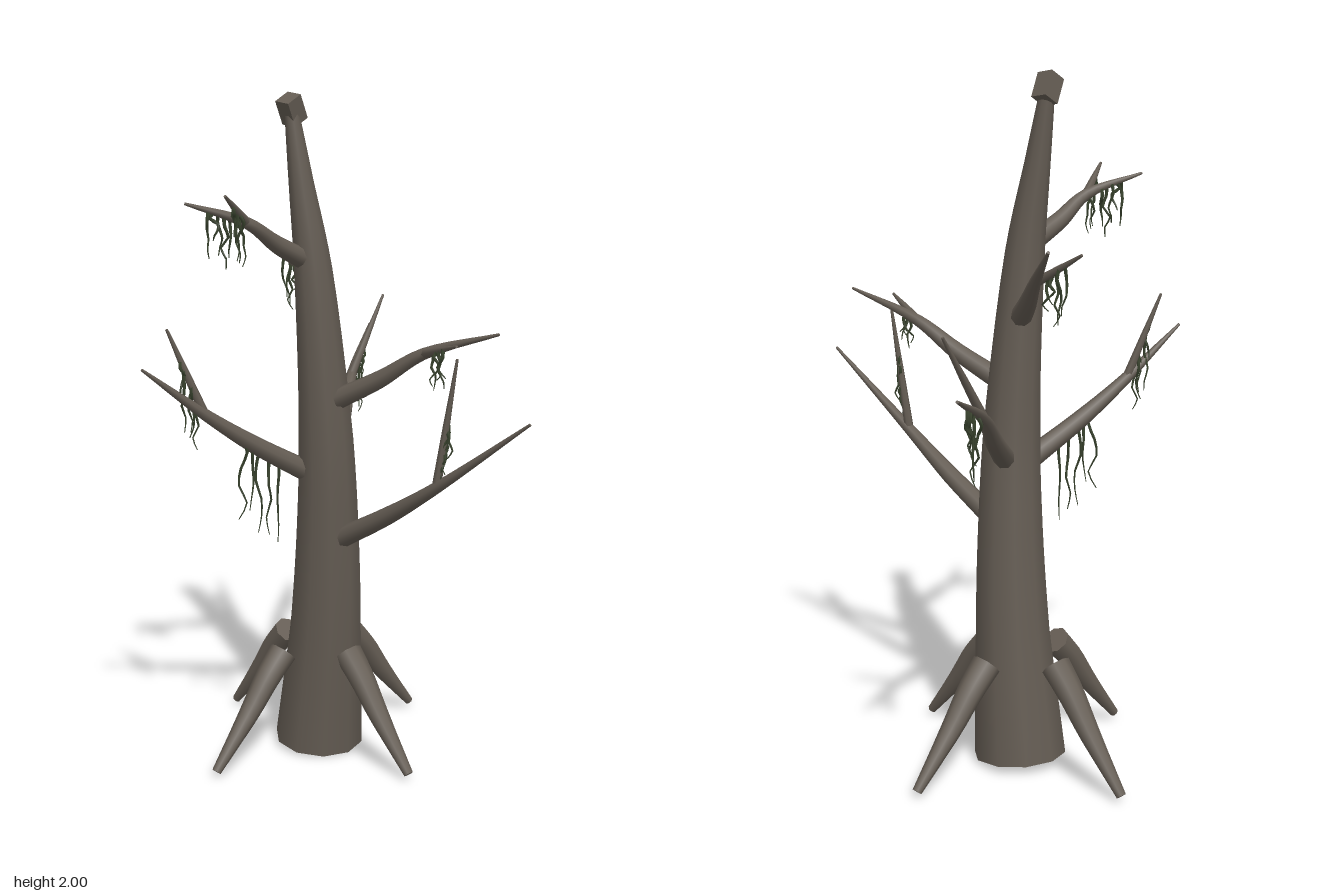
import * as THREE from 'three';

const bark = new THREE.MeshStandardMaterial({ color: 0x655d54 });
bark.name = 'bark';
const mossGreen = new THREE.MeshStandardMaterial({ color: 0x39432e });
mossGreen.name = 'mossGreen';

// Small seeded generator for the moss strands
let seed = 7;
const rand = () => (seed = (seed * 16807) % 2147483647) / 2147483647;
const vec = (x, y, z) => new THREE.Vector3(x, y, z);

// Tapered limb through points, with one radius per point and flat end caps
function limb(points, radii, sides, rings) {
  const curve = new THREE.CatmullRomCurve3(points);
  const position = [], normal = [], index = [];
  const last = points.length - 1;
  const side = Math.abs(curve.getTangent(0).x) > 0.8 ? vec(0, 0, 1) : vec(1, 0, 0);
  const push = (p, n) => {
    position.push(p.x, p.y, p.z);
    normal.push(n.x, n.y, n.z);
  };
  const cap = (centre, facing, ring, atEnd) => {
    const base = position.length / 3;
    push(centre, facing);
    ring.forEach(p => push(p, facing));
    for (let j = 1; j <= sides; j++) {
      index.push(base, base + (atEnd ? j : j + 1), base + (atEnd ? j + 1 : j));
    }
  };
  const caps = [];
  for (let i = 0; i <= rings; i++) {
    const t = i / rings;
    const k = Math.min(Math.floor(t * last), last - 1);
    const radius = THREE.MathUtils.lerp(radii[k], radii[k + 1], t * last - k);
    const centre = curve.getPoint(t), tangent = curve.getTangent(t);
    side.addScaledVector(tangent, -side.dot(tangent)).normalize();
    const up = vec().crossVectors(tangent, side);
    const ring = [];
    for (let j = 0; j <= sides; j++) {
      const a = j / sides * Math.PI * 2;
      const n = side.clone().multiplyScalar(Math.cos(a)).addScaledVector(up, Math.sin(a));
      ring.push(centre.clone().addScaledVector(n, radius));
      push(ring[j], n);
      if (i < rings && j < sides) {
        const p = i * (sides + 1) + j, q = p + sides + 1;
        index.push(p, p + 1, q, p + 1, q + 1, q);
      }
    }
    if (i === 0) caps.push([centre, tangent.negate(), ring, false]);
    if (i === rings) caps.push([centre, tangent, ring, true]);
  }
  caps.forEach(c => cap(...c));
  const geometry = new THREE.BufferGeometry();
  geometry.setAttribute('position', new THREE.Float32BufferAttribute(position, 3));
  geometry.setAttribute('normal', new THREE.Float32BufferAttribute(normal, 3));
  geometry.setIndex(index);
  return geometry;
}

function add(parent, name, geometry, material) {
  const mesh = new THREE.Mesh(geometry, material);
  mesh.name = name;
  parent.add(mesh);
  return mesh;
}

// Clump of wavy strands hanging from the middle of the stretch between two points
function addMoss(parent, from, to, length) {
  const clump = new THREE.Group();
  clump.name = 'hangingMoss';
  for (let i = 0; i < 5; i++) {
    const root = from.clone().lerp(to, 0.28 + 0.09 * i);
    const drop = length * (0.5 + 0.5 * rand());
    const points = [], radii = [];
    for (let k = 0; k <= 5; k++) {
      const sway = k ? 0.024 : 0.006;
      points.push(vec((rand() - 0.5) * sway, -drop * k / 5, (rand() - 0.5) * sway).add(root));
      radii.push(0.007 - 0.0011 * k);
    }
    add(clump, 'mossStrand', limb(points, radii, 4, 10), mossGreen);
  }
  parent.add(clump);
}

// Branch from the trunk to a fork, then on to its tip and to a thinner twig's tip
function addBranch(tree, name, start, fork, tip, twigTip, mossLengths) {
  const branch = new THREE.Group();
  branch.name = name;
  const elbow = start.clone().lerp(fork, 0.52);
  elbow.y -= 0.008;
  const twigMiddle = fork.clone().lerp(twigTip, 0.5);
  add(branch, 'mainLimb', limb([start, elbow, fork, tip], [0.032, 0.026, 0.017, 0.004], 8, 15), bark);
  add(branch, 'twig', limb([fork, twigMiddle, twigTip], [0.014, 0.01, 0.004], 6, 8), bark);
  const { limb: onLimb, main: onMain, twig: onTwig } = mossLengths;
  if (onLimb) addMoss(branch, start, fork, onLimb);
  if (onMain) addMoss(branch, fork, tip, onMain);
  if (onTwig) addMoss(branch, fork, twigTip, onTwig);
  tree.add(branch);
}

export function createModel() {
  seed = 7;
  const tree = new THREE.Group();
  tree.name = 'deadTree';

  // Leaning trunk and its broken, blocky tip
  const spine = [
    vec(-0.19, 0.02, -0.01), vec(-0.148, 0.4, -0.003), vec(-0.125, 0.7, 0.008), vec(-0.113, 1, 0.024),
    vec(-0.13, 1.5, 0.055), vec(-0.157, 1.75, 0.075), vec(-0.18, 1.94, 0.087),
  ];
  add(tree, 'trunk', limb(spine, [0.137, 0.11, 0.096, 0.083, 0.057, 0.037, 0.022], 10, 30), bark);
  const tip = add(tree, 'trunkTip', new THREE.BoxGeometry(0.052, 0.076, 0.054), bark);
  tip.position.set(-0.182, 1.953, 0.087);
  tip.rotation.set(0.51, 0, -0.16);

  // Four prop roots spread evenly around the trunk foot
  for (let i = 0; i < 4; i++) {
    const a = i * Math.PI / 2;
    const at = (reach, y) => vec(-0.19 + Math.cos(a) * reach, y, -0.005 + Math.sin(a) * reach);
    const path = [at(0.14, 0.335), at(0.2, 0.272), at(0.275, 0.175), at(0.405, 0.024)];
    add(tree, 'root', limb(path, [0.043, 0.039, 0.031, 0.014], 8, 10), bark);
  }

  // Branches: start, fork, tip, twig tip and the moss lengths
  addBranch(tree, 'lowerLeftBranch', vec(-0.06, 0.7, 0.015), vec(0.31, 0.92, -0.01),
    vec(0.605, 1.14, -0.06), vec(0.365, 1.29, -0.03), { twig: 0.15 });
  addBranch(tree, 'upperLeftBranch', vec(-0.07, 1.12, 0.03), vec(0.2, 1.28, -0.067),
    vec(0.43, 1.355, -0.127), vec(0.385, 1.33, -0.005), { twig: 0.15 });
  addBranch(tree, 'upperRightBranch', vec(-0.15, 1.32, 0.02), vec(-0.34, 1.45, -0.11),
    vec(-0.505, 1.557, -0.225), vec(-0.51, 1.54, -0.108), { twig: 0.16 });
  addBranch(tree, 'backBranch', vec(-0.15, 0.92, -0.04), vec(-0.36, 1.112, -0.31),
    vec(-0.555, 1.232, -0.577), vec(-0.39, 1.355, -0.48), { main: 0.22 });
  addBranch(tree, 'lowerFrontBranch', vec(-0.145, 0.905, 0.08), vec(-0.222, 1.107, 0.39),
    vec(-0.265, 1.252, 0.572), vec(-0.27, 1.355, 0.48), { limb: 0.27, twig: 0.2 });
  addBranch(tree, 'upperFrontBranch', vec(-0.135, 1.525, 0.07), vec(-0.135, 1.648, 0.295),
    vec(-0.205, 1.705, 0.455), vec(-0.075, 1.73, 0.418), { main: 0.15, twig: 0.15 });
  return tree;
}
